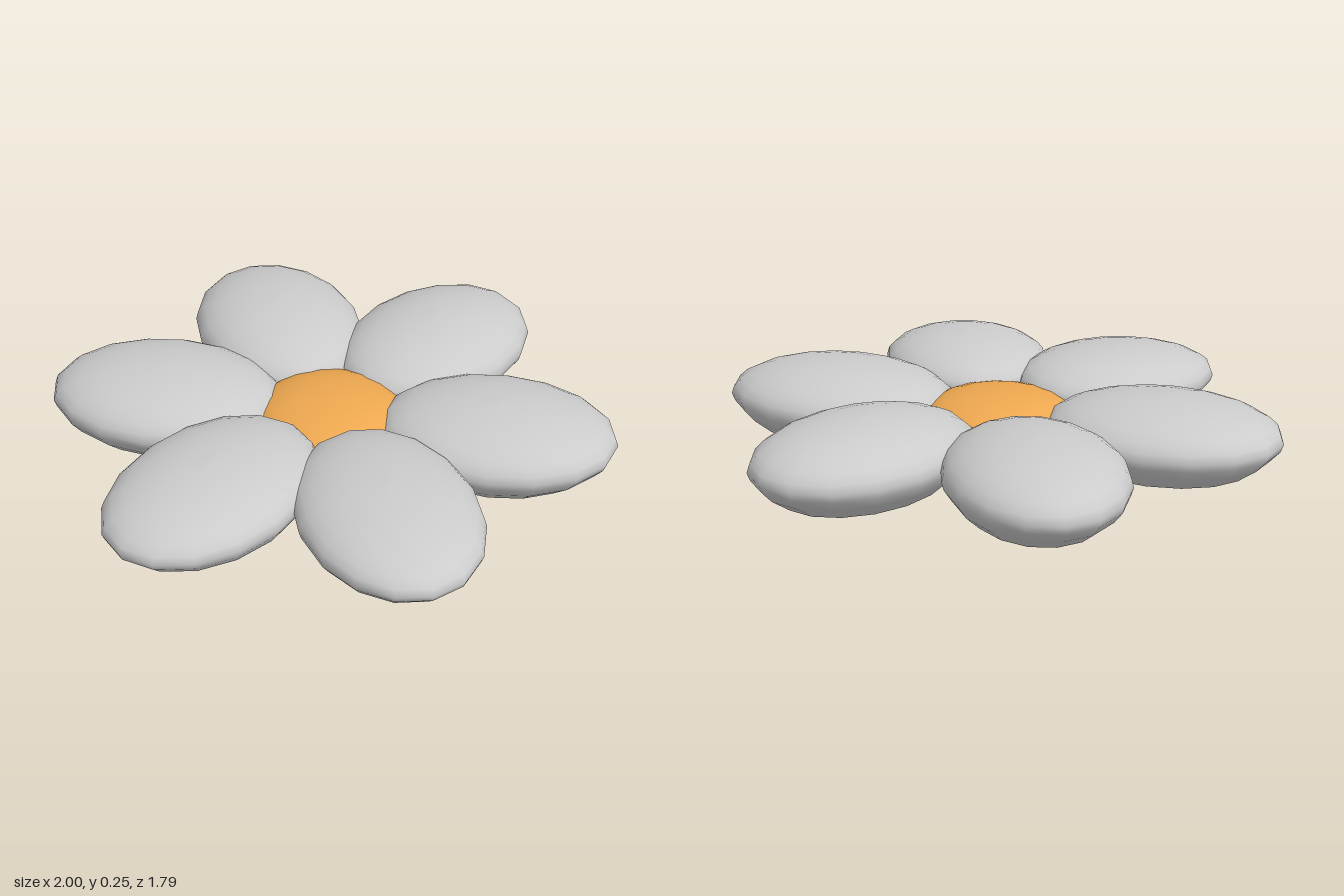
import * as THREE from 'three';

const grey = new THREE.MeshStandardMaterial({ color: 0xcccccc, side: THREE.DoubleSide });
const orange = new THREE.MeshStandardMaterial({ color: 0xeea850, side: THREE.DoubleSide });

// Flattened pebble standing on y = 0, open underneath, unit radius in plan.
function pebble(rim, height, segments) {
  const points = [[0.73, 0], [0.89, 0.42], [0.975, 0.76]].map(([r, y]) => new THREE.Vector2(r, y * rim));
  const steps = 7;
  for (let i = 0; i <= steps; i++) {
    const a = (i / steps) * Math.PI / 2;
    points.push(new THREE.Vector2(i === steps ? 0 : Math.cos(a), rim + (height - rim) * Math.sin(a)));
  }
  return new THREE.LatheGeometry(points, segments);
}

// Petal pointing along +x; droop lowers its outer end.
function petalGeometry(height, droop) {
  const geometry = pebble(0.115, height, 16);
  const pos = geometry.attributes.position;
  for (let i = 0; i < pos.count; i++) {
    pos.setY(i, pos.getY(i) * (1 - droop * pos.getX(i)));
  }
  geometry.scale(0.412, 1, 0.303);
  geometry.translate(0.588, 0, 0);
  return geometry;
}

export function createModel() {
  const flower = new THREE.Group();
  flower.name = 'flower';

  // Domed centre
  const centre = new THREE.Mesh(pebble(0.1, 0.19, 16).scale(0.27, 1, 0.27), orange);
  centre.name = 'flowerCentre';
  flower.add(centre);

  // Ring of six petals: the front pair sits lowest, the back pair highest
  for (let i = 0; i < 6; i++) {
    const angle = (i * Math.PI) / 3;
    const back = Math.sin(angle);
    const height = 0.24 + 0.008 * back;
    const droop = back < -0.1 ? 0.15 : 0;
    const petal = new THREE.Mesh(petalGeometry(height, droop), grey);
    petal.name = `petal${i + 1}`;
    petal.rotation.y = angle;
    flower.add(petal);
  }
  return flower;
}
